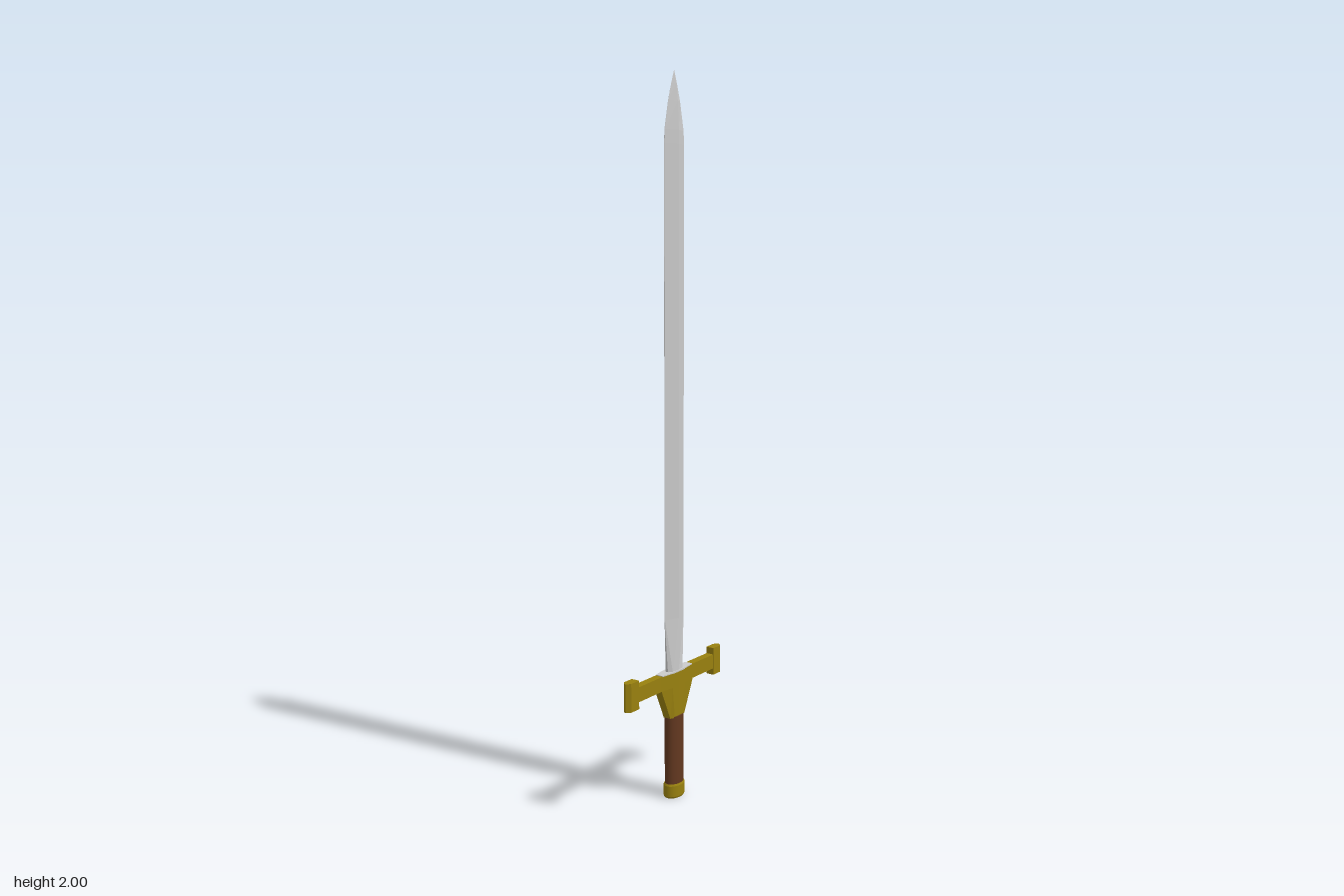
import * as THREE from 'three';

const steel = new THREE.MeshStandardMaterial({ name: 'steel', color: 0xcbcbcb });
const gold = new THREE.MeshStandardMaterial({ name: 'gold', color: 0x98800f });
const leather = new THREE.MeshStandardMaterial({ name: 'leather', color: 0x633820 });

// Faceted loft: each section is [y, w, e, f, tf, t], a quarter outline
// (w, e) > (f, tf) > (0, t) mirrored in x and z.
function loft(sections) {
  const rings = sections.map(([y, w, e, f, tf, t]) =>
    [[w, e], [f, tf], [0, t], [-f, tf], [-w, e], [-w, -e], [-f, -tf], [0, -t], [f, -tf], [w, -e]]
      .map(([x, z]) => [x, y, z]));
  const pos = [];
  const tri = (...corners) => corners.forEach((c) => pos.push(...c));
  const n = 10, last = rings.length - 1;
  for (let i = 0; i < n; i++) {
    const j = (i + 1) % n;
    for (let r = 0; r < last; r++) {
      const lo = rings[r], hi = rings[r + 1];
      tri(lo[i], hi[i], lo[j]);
      tri(lo[j], hi[i], hi[j]);
    }
    tri([0, sections[0][0], 0], rings[0][i], rings[0][j]);
    tri([0, sections[last][0], 0], rings[last][j], rings[last][i]);
  }
  const geo = new THREE.BufferGeometry();
  geo.setAttribute('position', new THREE.Float32BufferAttribute(pos, 3));
  geo.computeVertexNormals();
  return geo;
}

export function createModel() {
  const sword = new THREE.Group();
  sword.name = 'sword';
  const add = (name, geo, mat, parent = sword) => {
    const mesh = new THREE.Mesh(geo, mat);
    mesh.name = name;
    parent.add(mesh);
    return mesh;
  };

  // Blade: blunt base, long diamond section, curved point
  add('blade', loft([
    [0.36, 0.034, 0.004, 0.022, 0.013, 0.015],
    [0.52, 0.045, 0, 0.044, 0.001, 0.016],
    [1.81, 0.045, 0, 0.044, 0.001, 0.016],
    [1.845, 0.043, 0, 0.042, 0.001, 0.0155],
    [1.92, 0.027, 0, 0.0265, 0.0005, 0.012],
    [1.965, 0.013, 0, 0.0125, 0.0003, 0.007],
    [2.0, 0, 0, 0, 0, 0],
  ]), steel);

  // Guard centre: flared block, with a steel plate on top
  add('guardCentre', loft([
    [0.236, 0.034, 0.0115, 0.02, 0.017, 0.018],
    [0.326, 0.075, 0.0115, 0.03, 0.017, 0.018],
    [0.367, 0.075, 0.0115, 0.03, 0.017, 0.018],
  ]), gold);
  add('guardPlate', loft([
    [0.366, 0.071, 0.0115, 0.03, 0.017, 0.018],
    [0.37, 0.071, 0.0115, 0.03, 0.017, 0.018],
  ]), steel);

  // Guard arms with wedge-ended blocks
  const endShape = new THREE.Shape([
    [0.179, -0.0125], [0.214, -0.0125], [0.225, -0.002],
    [0.225, 0.002], [0.214, 0.0125], [0.179, 0.0125],
  ].map(([x, z]) => new THREE.Vector2(x, z)));
  for (const side of ['left', 'right']) {
    const arm = new THREE.Group();
    arm.name = side + 'GuardArm';
    if (side === 'right') arm.rotation.y = Math.PI;
    sword.add(arm);
    const bar = new THREE.BoxGeometry(0.118, 0.042, 0.023);
    add('guardBar', bar.translate(0.123, 0.347, 0), gold, arm);
    const end = new THREE.ExtrudeGeometry(endShape, { depth: 0.08, bevelEnabled: false });
    add('guardEnd', end.rotateX(-Math.PI / 2).translate(0, 0.307, 0), gold, arm);
  }

  // Oval grip
  const grip = new THREE.CylinderGeometry(0.033, 0.033, 0.202, 24);
  add('grip', grip.scale(1, 1, 0.68).translate(0, 0.138, 0), leather);

  // Oval pommel with a chamfered foot
  const profile = [[0, 0], [0.034, 0], [0.034, 0], [0.037, 0.005], [0.037, 0.005],
    [0.037, 0.036], [0.037, 0.036], [0.034, 0.041], [0.034, 0.041], [0, 0.041]];
  const pommel = new THREE.LatheGeometry(profile.map(([x, y]) => new THREE.Vector2(x, y)), 24);
  add('pommel', pommel.scale(1, 1, 0.69), gold);

  return sword;
}
